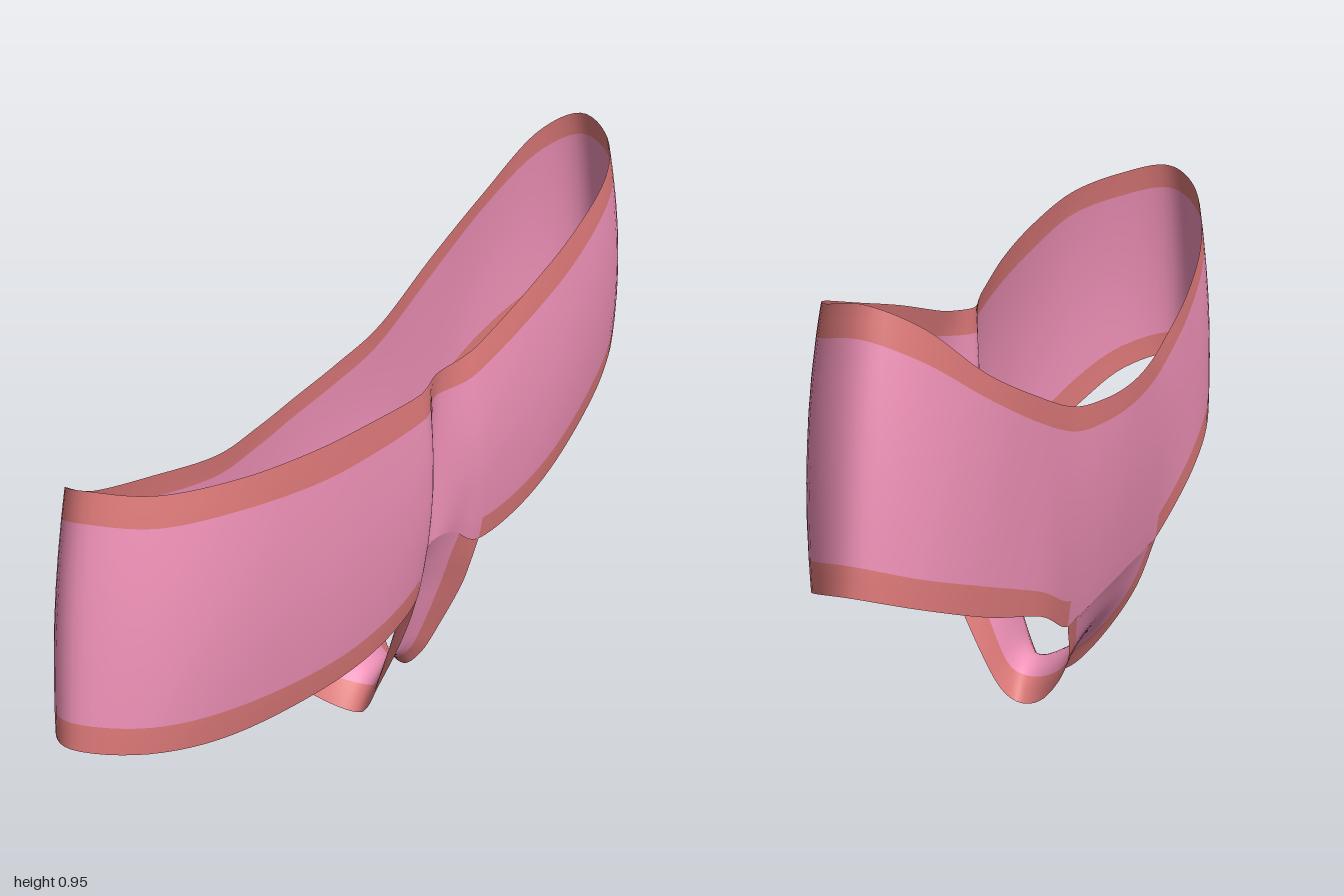
import * as THREE from 'three';

const pink = new THREE.MeshStandardMaterial({ color: 0xee90b6, side: THREE.DoubleSide });
const red = new THREE.MeshStandardMaterial({ color: 0xdc7878, side: THREE.DoubleSide });

// Sheet of cloth from a grid of points; isTrim picks the cells sewn in the edging colour
function sheet(name, rows, closed, isTrim) {
  const n = rows.length, m = rows[0].length;
  const body = [], trim = [];
  for (let i = 0; i < (closed ? n : n - 1); i++) {
    for (let j = 0; j < m - 1; j++) {
      const a = i * m + j, b = ((i + 1) % n) * m + j;
      (isTrim(i, j) ? trim : body).push(a, b, b + 1, a, b + 1, a + 1);
    }
  }
  const whole = new THREE.BufferGeometry().setFromPoints(rows.flat());
  whole.setIndex([...body, ...trim]);
  whole.computeVertexNormals();
  const group = new THREE.Group();
  group.name = name;
  for (const [part, index, material] of [['Fabric', body, pink], ['Trim', trim, red]]) {
    const geometry = whole.clone();
    geometry.setIndex(index);
    const mesh = new THREE.Mesh(geometry, material);
    mesh.name = name + part;
    group.add(mesh);
  }
  return group;
}

const curve = (points, closed) =>
  new THREE.CatmullRomCurve3(points.map(p => new THREE.Vector3(...p)), closed, 'catmullrom', 0.5);

// Half of each hoop of the waist panel, from the pinched seam round one hip
const topHalf = [
  [0.125, 0.775, 0], [0.14, 0.78, 0.07], [0.15, 0.79, 0.13], [0.163, 0.83, 0.3], [0.163, 0.87, 0.5],
  [0.14, 0.91, 0.7], [0.075, 0.935, 0.85], [-0.02, 0.95, 0.915], [-0.1, 0.905, 0.86],
  [-0.15, 0.81, 0.72], [-0.172, 0.73, 0.52], [-0.175, 0.665, 0.31], [-0.185, 0.645, 0.15], [-0.19, 0.64, 0],
];
const middleHalf = [
  [0.115, 0.57, 0], [0.157, 0.57, 0.07], [0.175, 0.57, 0.13], [0.185, 0.58, 0.3], [0.183, 0.61, 0.5],
  [0.155, 0.67, 0.73], [0.09, 0.7, 0.89], [-0.02, 0.72, 0.968], [-0.11, 0.68, 0.9],
  [-0.165, 0.62, 0.74], [-0.182, 0.53, 0.52], [-0.182, 0.46, 0.31], [-0.187, 0.45, 0.15], [-0.19, 0.45, 0],
];
const bottomHalf = [
  [0.12, 0.4, 0], [0.13, 0.384, 0.07], [0.155, 0.345, 0.13], [0.17, 0.345, 0.3], [0.165, 0.37, 0.5],
  [0.135, 0.42, 0.75], [0.08, 0.47, 0.92], [-0.02, 0.495, 1], [-0.11, 0.46, 0.92],
  [-0.165, 0.4, 0.75], [-0.185, 0.335, 0.53], [-0.165, 0.245, 0.31], [-0.169, 0.249, 0.15], [-0.17, 0.25, 0],
];

// Mirror a half hoop across z to close it
const hoop = half => curve([
  ...half.map(([x, y, z]) => [x, y, -z]),
  ...half.slice(1, -1).reverse(),
], true);

function waistPanel() {
  const hoops = [bottomHalf, middleHalf, topHalf].map(hoop);
  const stations = 26, steps = 6, count = stations * steps;
  const heights = [0, 0.06, 0.115, 0.25, 0.38, 0.5, 0.62, 0.75, 0.885, 0.94, 1];
  const rows = [];
  for (let i = 0; i < count; i++) {
    const [b, c, t] = hoops.map(h => h.getPoint(i / count));
    // Parabola through the bottom, middle and top hoops
    rows.push(heights.map(v => new THREE.Vector3()
      .addScaledVector(b, (1 - v) * (1 - 2 * v))
      .addScaledVector(c, 4 * v * (1 - v))
      .addScaledVector(t, v * (2 * v - 1))));
  }
  // Edging all round the waist, and along the leg openings only below
  return sheet('waistPanel', rows, true, (i, j) => {
    if (j >= 8) return true;
    const k = (i + 0.5) / steps, s = Math.min(k, stations - k);
    return j < 2 && s > 2 && s < 11;
  });
}

// Strip between the legs: arched across, wide at one end and narrow at the other
function gusset() {
  const centre = curve([
    [-0.17, 0.25, 0], [-0.135, 0.17, 0], [-0.09, 0.11, 0], [-0.04, 0.078, 0], [0, 0.068, 0],
    [0.03, 0.09, 0], [0.05, 0.16, 0], [0.07, 0.25, 0], [0.095, 0.33, 0], [0.12, 0.4, 0],
  ], false);
  const edge = curve([
    [-0.165, 0.245, 0.31], [-0.145, 0.16, 0.24], [-0.105, 0.085, 0.175], [-0.05, 0.02, 0.12], [0, 0.003, 0.1],
    [0.035, 0.035, 0.115], [0.07, 0.11, 0.13], [0.115, 0.215, 0.135], [0.14, 0.29, 0.13], [0.155, 0.345, 0.13],
  ], false);
  const rows = [], count = 54, inner = 10;
  for (let i = 0; i <= count; i++) {
    const c = centre.getPoint(i / count), e = edge.getPoint(i / count);
    const w0 = 1 - 0.05 / c.distanceTo(e);
    const across = [-1, -(1 + w0) / 2];
    for (let k = 0; k <= inner; k++) across.push(w0 * (2 * k / inner - 1));
    across.push((1 + w0) / 2, 1);
    rows.push(across.map(w => new THREE.Vector3(
      c.x + (e.x - c.x) * w * w, c.y + (e.y - c.y) * w * w, e.z * w)));
  }
  return sheet('gusset', rows, false, (i, j) => j < 2 || j >= inner + 2);
}

export function createModel() {
  const model = new THREE.Group();
  model.name = 'briefs';
  model.add(waistPanel(), gusset());
  return model;
}
